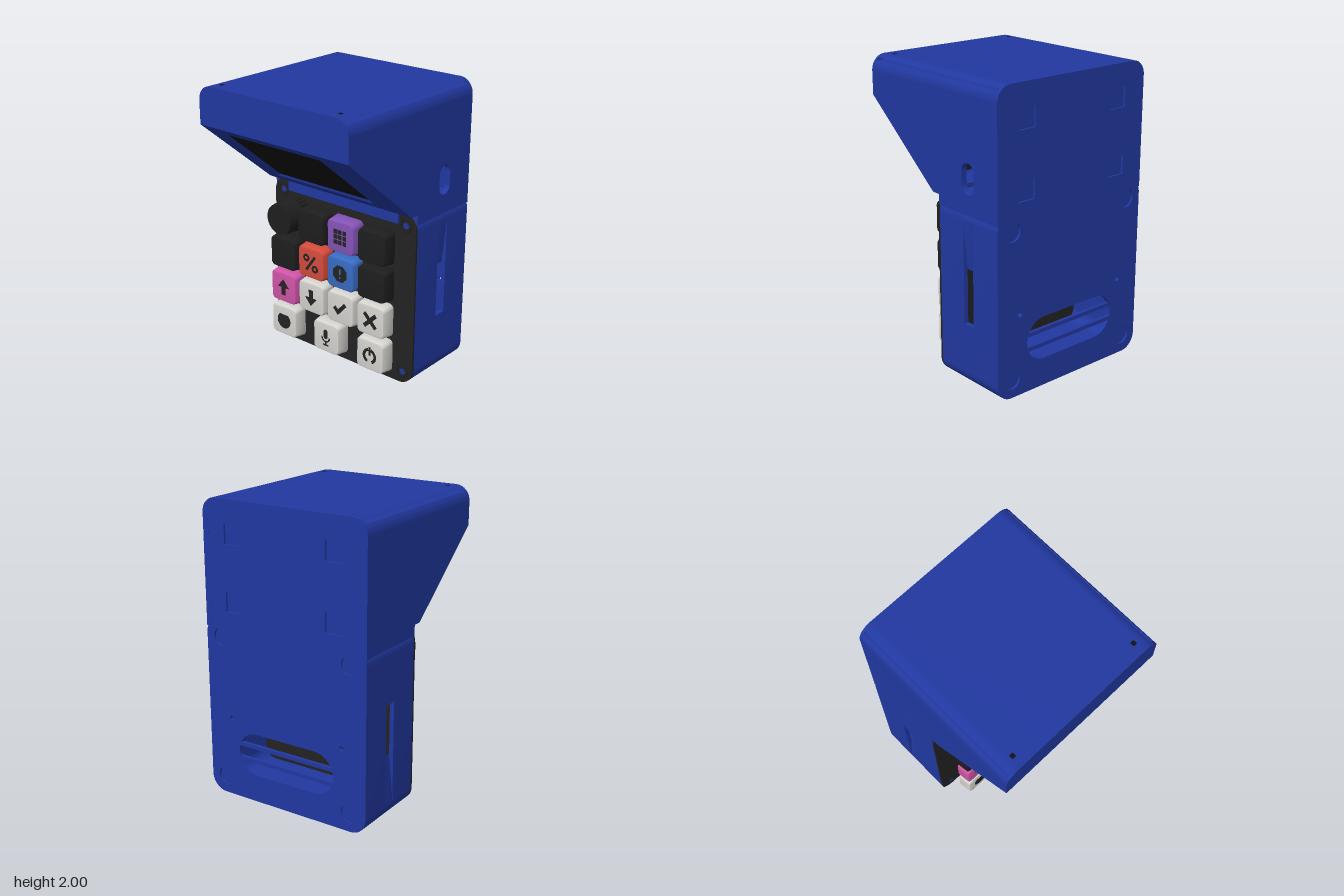
import * as THREE from 'three';
import { toCreasedNormals } from 'three/addons/utils/BufferGeometryUtils.js';

const mat = (name, color, side = THREE.FrontSide) => {
  const m = new THREE.MeshStandardMaterial({ color, side });
  m.name = name;
  return m;
};

// Shape helpers
function roundedRect(x, y, w, h, r, Type = THREE.Shape) {
  const s = new Type();
  s.moveTo(x + r, y);
  s.lineTo(x + w - r, y);
  s.absarc(x + w - r, y + r, r, -Math.PI / 2, 0);
  s.absarc(x + w - r, y + h - r, r, 0, Math.PI / 2);
  s.absarc(x + r, y + h - r, r, Math.PI / 2, Math.PI);
  s.absarc(x + r, y + r, r, Math.PI, Math.PI * 1.5);
  return s;
}
const polygon = pts => new THREE.Shape(pts.map(p => new THREE.Vector2(...p)));
const rect = (x, y, w, h) => polygon([[x, y], [x + w, y], [x + w, y + h], [x, y + h]]);
const circle = (x, y, r) => new THREE.Shape().absarc(x, y, r, 0, Math.PI * 2);
function arcBand(x, y, r0, r1, a, b) {
  const s = new THREE.Shape();
  s.absarc(x, y, r1, a, b, false);
  s.absarc(x, y, r0, b, a, true);
  return s;
}
function bar(cx, cy, len, w, angle) {
  const c = Math.cos(angle), n = Math.sin(angle);
  return polygon([[-1, -1], [1, -1], [1, 1], [-1, 1]].map(([i, j]) =>
    [cx + (i * len * c - j * w * n) / 2, cy + (i * len * n + j * w * c) / 2]));
}
const withHoles = (s, ...holes) => { s.holes.push(...holes); return s; };
const extrude = (shape, depth, opts = {}) => toCreasedNormals(
  new THREE.ExtrudeGeometry(shape, { depth, bevelEnabled: false, curveSegments: 12, ...opts }), 0.5);

// Key symbols, centred on the key
function symbols() {
  const grid = [];
  for (let i = -1; i <= 1; i++) for (let j = -1; j <= 1; j++) grid.push(rect(i * 0.037 - 0.015, j * 0.037 - 0.015, 0.03, 0.03));
  const arrow = f => polygon([[-0.018, -0.058], [0.018, -0.058], [0.018, 0], [0.052, 0], [0, 0.06], [-0.052, 0], [-0.018, 0]].map(([x, y]) => [x * f, y * f]));
  const badge = polygon([...Array(8)].map((_, i) => {
    const a = (i + 0.5) * Math.PI / 4;
    return [0.062 * Math.cos(a), 0.062 * Math.sin(a)];
  }));
  const pie = new THREE.Shape();
  pie.moveTo(0, 0);
  pie.absarc(0, 0, 0.06, Math.PI * 0.72, Math.PI * 2.28);
  return {
    grid,
    percent: [bar(0, 0, 0.135, 0.018, 0.95),
      ...[-1, 1].map(f => withHoles(circle(f * 0.038, -f * 0.034, 0.027), circle(f * 0.038, -f * 0.034, 0.012)))],
    badge: [withHoles(badge, rect(-0.007, -0.008, 0.014, 0.042), circle(0, -0.027, 0.008))],
    up: [arrow(1)],
    down: [arrow(-1)],
    check: [polygon([[-0.058, -0.004], [-0.038, 0.016], [-0.016, -0.008], [0.036, 0.052], [0.056, 0.032], [-0.016, -0.048]])],
    cross: [bar(0, 0, 0.135, 0.028, Math.PI / 4), bar(0, 0, 0.135, 0.028, -Math.PI / 4)],
    pie: [pie],
    mic: [roundedRect(-0.018, -0.01, 0.036, 0.07, 0.0175), arcBand(0, 0.002, 0.028, 0.038, Math.PI, Math.PI * 2),
      rect(-0.005, -0.056, 0.01, 0.022), rect(-0.024, -0.062, 0.048, 0.01)],
    loop: [arcBand(0, -0.004, 0.036, 0.056, -Math.PI * 0.36, Math.PI * 0.42),
      arcBand(0, -0.004, 0.036, 0.056, Math.PI * 0.58, Math.PI * 1.36), rect(-0.008, 0, 0.016, 0.062)],
  };
}

export function createModel() {
  const root = new THREE.Group();
  const body = mat('casing blue', 0x2138a0, THREE.DoubleSide);
  const black = mat('plate black', 0x222222);
  const keyBlack = mat('key black', 0x1e1e1e);
  const dark = mat('screen black', 0x111111, THREE.DoubleSide);
  const white = mat('key white', 0xd6d5d0);
  const purple = mat('key purple', 0x8554b8);
  const red = mat('key red', 0xd44c3d);
  const blue = mat('key blue', 0x386cc4);
  const pink = mat('key pink', 0xd055a8);

  const add = (name, geo, m, x = 0, y = 0, z = 0, parent = root) => {
    const mesh = new THREE.Mesh(geo, m);
    mesh.name = name;
    mesh.position.set(x, y, z);
    parent.add(mesh);
    return mesh;
  };
  const box = (name, m, x0, x1, y0, y1, z0, z1) =>
    add(name, new THREE.BoxGeometry(x1 - x0, y1 - y0, z1 - z0), m, (x0 + x1) / 2, (y0 + y1) / 2, (z0 + z1) / 2);

  // Lower casing: a hollow rounded wall, interrupted by a slot on each side
  const H = 1.225;
  const outline = () => roundedRect(-0.61, 0, 1.22, H, 0.11);
  const ring = () => withHoles(outline(), roundedRect(-0.58, 0.03, 1.16, H - 0.06, 0.08, THREE.Path));
  add('lowerWallBack', extrude(ring(), 0.2), body, 0, 0, -0.585);
  add('lowerWallFront', extrude(ring(), 0.23), body, 0, 0, -0.295);
  const halfWall = cut => {
    const s = new THREE.Shape();
    s.moveTo(-0.61, cut);
    s.absarc(-0.5, 0.11, 0.11, Math.PI, Math.PI * 1.5);
    s.absarc(0.5, 0.11, 0.11, Math.PI * 1.5, Math.PI * 2);
    s.lineTo(0.61, cut);
    s.lineTo(0.58, cut);
    s.absarc(0.5, 0.11, 0.08, Math.PI * 2, Math.PI * 1.5, true);
    s.absarc(-0.5, 0.11, 0.08, Math.PI * 1.5, Math.PI, true);
    s.lineTo(-0.58, cut);
    return extrude(s, 0.09);
  };
  add('lowerWallBelowSlot', halfWall(0.435), body, 0, 0, -0.385);
  add('lowerWallAboveSlot', halfWall(0.43), body, 0, H, -0.385).rotation.z = Math.PI;

  // Lower back: vent, small holes and round foot recesses
  const ventHoles = () => [roundedRect(-0.37, 0.19, 0.74, 0.29, 0.144, THREE.Path), circle(0.43, 0.55, 0.017), circle(-0.43, 0.55, 0.017)];
  const feet = [];
  for (const x of [-0.49, 0.49]) for (const y of [0.12, 1.1]) feet.push(circle(x, y, 0.062));
  add('lowerBackOuter', extrude(withHoles(outline(), ...ventHoles(), ...feet), 0.015), body, 0, 0, -0.615);
  add('lowerBackInner', extrude(withHoles(outline(), ...ventHoles()), 0.015), body, 0, 0, -0.6);
  for (const y of [0.285, 0.385]) box('ventSlat', body, -0.37, 0.37, y - 0.013, y + 0.013, -0.612, -0.588);

  // Front plate with corner screws
  add('frontPlate', extrude(outline(), 0.015), black, 0, 0, -0.065);
  for (const x of [-0.53, 0.53]) for (const y of [0.085, 1.14]) {
    add('screwRim', new THREE.TorusGeometry(0.042, 0.004, 6, 24), keyBlack, x, y, -0.05);
    add('screw', new THREE.CircleGeometry(0.022, 20), body, x, y, -0.048);
  }

  // Upper casing sides, with an oval opening on the left one
  const side = () => polygon([[-0.615, 1.16], [-0.06, 1.16], [-0.06, 1.23], [0, 1.23], [0.62, 1.74], [0.62, 1.9], [-0.615, 1.9]]);
  const oval = roundedRect(-0.4, 1.29, 0.115, 0.2, 0.057, THREE.Path);
  add('upperSideLeft', extrude(withHoles(side(), oval), 0.04), body, 0.61).rotation.y = -Math.PI / 2;
  add('upperSideRight', extrude(side(), 0.04), body, -0.57).rotation.y = -Math.PI / 2;

  // Upper back with four square recesses
  const squares = [];
  for (const x of [-0.38, 0.38]) for (const y of [1.34, 1.78]) squares.push(rect(x - 0.065, y - 0.065, 0.13, 0.13));
  add('upperBackOuter', extrude(withHoles(rect(-0.57, 1.16, 1.14, 0.74), ...squares), 0.015), body, 0, 0, -0.614);
  box('upperBackInner', body, -0.57, 0.57, 1.16, 1.9, -0.599, -0.585);
  box('upperFront', body, -0.57, 0.57, 1.74, 1.9, 0.58, 0.62);
  box('ledge', body, -0.57, 0.57, 1.23, 1.25, -0.06, 0);
  box('flange', body, -0.475, 0.475, 1.145, 1.235, -0.056, -0.034);

  // Sloping screen panel
  const panel = new THREE.Group();
  panel.name = 'screenPanel';
  panel.position.set(0, 1.23, 0);
  panel.rotation.x = Math.atan2(0.62, 0.51);
  root.add(panel);
  const o = [-0.485, 0.071, 0.35, 0.732], n = [-0.46, 0.087, 0.335, 0.69], D = -0.012;
  add('screenSurround', extrude(withHoles(rect(-0.57, 0, 1.14, 0.803), rect(o[0], o[1], o[2] - o[0], o[3] - o[1])), 0.02), body, 0, 0, -0.02, panel);
  const corners = b => [[b[0], b[1]], [b[2], b[1]], [b[2], b[3]], [b[0], b[3]]];
  const co = corners(o), ci = corners(n), verts = [];
  for (let i = 0; i < 4; i++) {
    const j = (i + 1) % 4;
    const [a, b, c, d] = [[...co[i], 0], [...co[j], 0], [...ci[j], D], [...ci[i], D]];
    verts.push(...a, ...b, ...c, ...a, ...c, ...d);
  }
  const chamfer = new THREE.BufferGeometry();
  chamfer.setAttribute('position', new THREE.Float32BufferAttribute(verts, 3));
  chamfer.computeVertexNormals();
  add('screenChamfer', chamfer, body, 0, 0, 0, panel);
  add('screen', new THREE.PlaneGeometry(n[2] - n[0], n[3] - n[1]), dark, (n[0] + n[2]) / 2, (n[1] + n[3]) / 2, D, panel);

  // Lid: rounded slices with a long slit between them, joined at front and back
  const slice = (y0, y1) => {
    const edge = [];
    for (let i = 0; i <= 10; i++) {
      const y = y0 + (y1 - y0) * Math.sin(i * Math.PI / 20);
      edge.push([0.51 + Math.sqrt(Math.max(0, 0.01 - (y - 1.9) ** 2)), y]);
    }
    return polygon([...edge, ...edge.map(([x, y]) => [-x, y]).reverse()]);
  };
  add('lidBase', extrude(slice(1.9, 1.965), 1.195), body, 0, 0, -0.595);
  add('lidTop', extrude(slice(1.98, 2), 1.195), body, 0, 0, -0.595);
  add('lidBackEnd', extrude(slice(1.9, 2), 0.02), body, 0, 0, -0.615);
  add('lidFrontEnd', extrude(slice(1.9, 2), 0.02), body, 0, 0, 0.6);
  const peg = extrude(withHoles(rect(-0.02, -0.02, 0.04, 0.04), rect(-0.014, -0.014, 0.028, 0.028)), 0.002).rotateX(-Math.PI / 2);
  for (const x of [-0.485, 0.485]) {
    for (const z of [-0.545, 0.54]) add('lidSocket', peg, body, x, 1.999, z);
    box('lidSocketFill', dark, x - 0.014, x + 0.014, 1.997, 2.0005, 0.526, 0.554);
  }

  // Keys: tapered rounded caps
  const cap = new THREE.ExtrudeGeometry(roundedRect(-0.11, -0.11, 0.22, 0.22, 0.025),
    { depth: 0.084, bevelThickness: 0.008, bevelSize: 0.01, bevelSegments: 2, curveSegments: 5 });
  const p = cap.attributes.position;
  for (let i = 0; i < p.count; i++) {
    const k = 1 - 0.9 * (p.getZ(i) + 0.008);
    p.setXY(i, p.getX(i) * k, p.getY(i) * k);
  }
  const capGeo = toCreasedNormals(cap, 0.6);
  const icons = symbols();
  const cols = [-0.39, -0.132, 0.127, 0.385], rows = [1.005, 0.745, 0.487, 0.228];
  const key = (x, y, m, icon) => {
    const g = new THREE.Group();
    g.name = 'key';
    g.position.set(x, y, 0.033);
    root.add(g);
    add('keyCap', capGeo, m, 0, 0, 0, g);
    if (icon) add('keySymbol', extrude(icons[icon], 0.004), black, 0, 0, 0.0905, g);
  };
  const layout = [
    [null, [keyBlack], [purple, 'grid'], [keyBlack]],
    [[keyBlack], [red, 'percent'], [blue, 'badge'], [keyBlack]],
    [[pink, 'up'], [white, 'down'], [white, 'check'], [white, 'cross']],
  ];
  layout.forEach((row, r) => row.forEach((k, c) => k && key(cols[c], rows[r], ...k)));
  key(cols[0], rows[3], white, 'pie');
  key(0, rows[3], white, 'mic');
  key(cols[3], rows[3], white, 'loop');

  // Ribbed knob with a smooth cap
  const ribs = polygon([...Array(96)].map((_, i) => {
    const a = i * Math.PI / 48, r = i % 4 < 2 ? 0.112 : 0.104;
    return [r * Math.cos(a), r * Math.sin(a)];
  }));
  add('knobSkirt', extrude(ribs, 0.185), keyBlack, cols[0], rows[0], -0.05);
  add('knobCap', toCreasedNormals(new THREE.CylinderGeometry(0.108, 0.118, 0.13, 40), 0.5).rotateX(Math.PI / 2), keyBlack, cols[0], rows[0], 0.09);
  return root;
}
